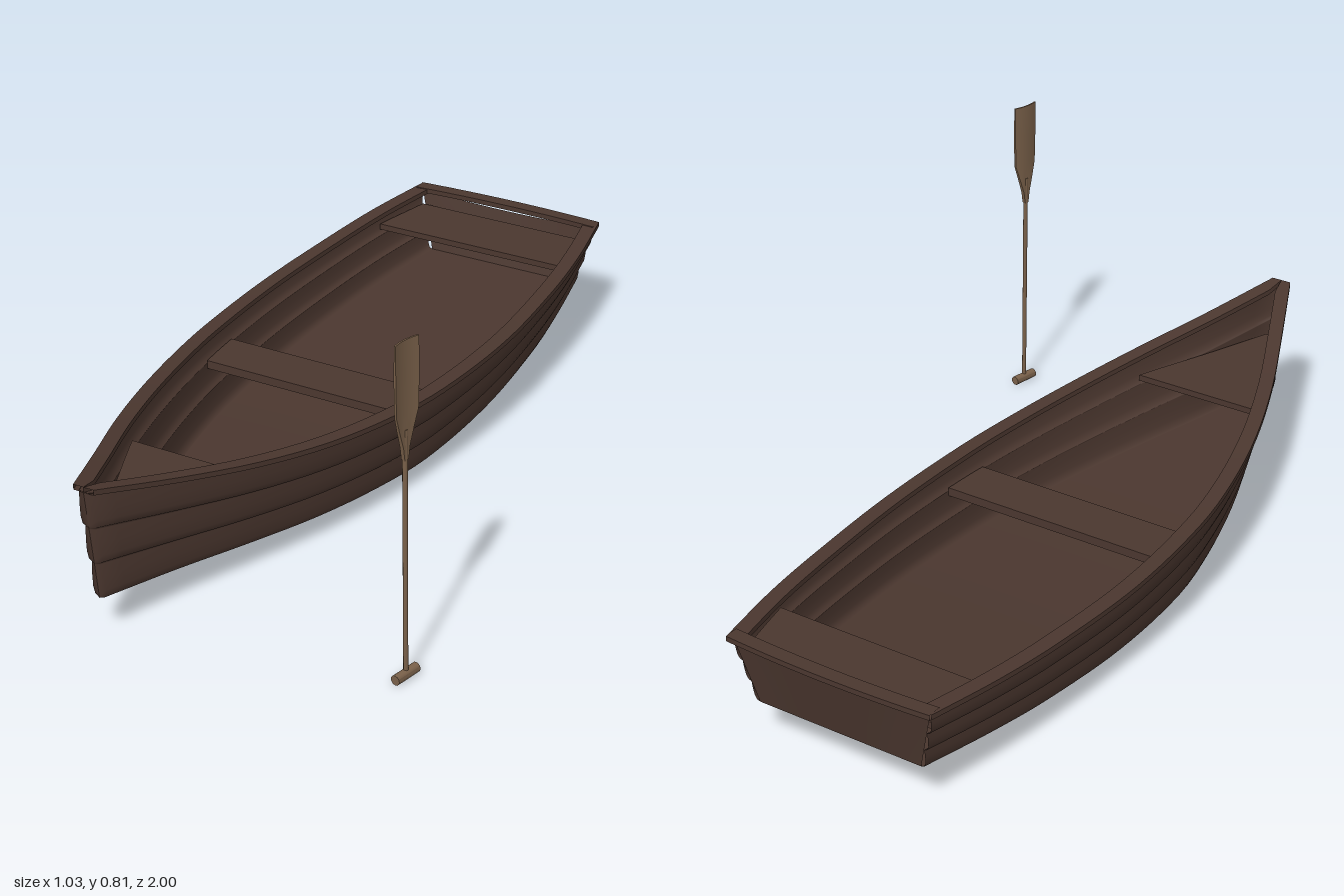
import * as THREE from 'three';
import { toCreasedNormals } from 'three/addons/utils/BufferGeometryUtils.js';

const CENTER_X = -0.165;
const STEPS = 40;

// Smooth curve through [t, value] pairs, t from 0 (stern) to 1 (bow)
const STATIONS = [0, 0.1, 0.2, 0.35, 0.5, 0.6, 0.7, 0.8, 0.9, 1];
function curve(values) {
  const n = STATIONS.length;
  const slope = (i) => {
    const a = Math.max(i - 1, 0), b = Math.min(i + 1, n - 1);
    return (values[b] - values[a]) / (STATIONS[b] - STATIONS[a]);
  };
  return (t) => {
    let i = 0;
    while (i < n - 2 && t > STATIONS[i + 1]) i++;
    const d = STATIONS[i + 1] - STATIONS[i], s = (t - STATIONS[i]) / d;
    const s2 = s * s, s3 = s2 * s;
    return values[i] * (2 * s3 - 3 * s2 + 1) + values[i + 1] * (3 * s2 - 2 * s3)
      + d * (slope(i) * (s3 - 2 * s2 + s) + slope(i + 1) * (s3 - s2));
  };
}
const topHalf = curve([0.258, 0.296, 0.32, 0.338, 0.326, 0.297, 0.25, 0.184, 0.101, 0.015]);
const bottomHalf = curve([0.215, 0.25, 0.275, 0.292, 0.28, 0.248, 0.199, 0.136, 0.068, 0.008]);
const rimY = curve([0.283, 0.275, 0.267, 0.261, 0.264, 0.273, 0.29, 0.317, 0.353, 0.397]);
const bottomY = curve([0.11, 0.095, 0.08, 0.062, 0.052, 0.055, 0.062, 0.074, 0.087, 0.1]);
const RIM = 0.013;
const lerp = THREE.MathUtils.lerp;
const V = (x, y, z) => new THREE.Vector3(x, y, z);

// Skin a list of equal-length cross-sections
function loft(sections, flip = false) {
  const pos = [], index = [], m = sections[0].length;
  sections.forEach((s) => s.forEach((p) => pos.push(p.x, p.y, p.z)));
  for (let i = 0; i < sections.length - 1; i++) {
    for (let j = 0; j < m - 1; j++) {
      const a = i * m + j, b = a + 1, c = a + m, d = c + 1;
      if (flip) index.push(a, b, c, b, d, c);
      else index.push(a, c, b, b, c, d);
    }
  }
  const g = new THREE.BufferGeometry();
  g.setAttribute('position', new THREE.Float32BufferAttribute(pos, 3));
  g.setIndex(index);
  g.computeVertexNormals();
  return g;
}
const along = (fn) => Array.from({ length: STEPS + 1 }, (_, i) => fn(i / STEPS));

// Point on the hull side: u rises from chine to rim, off pushes outward
function sidePoint(t, u, off, side) {
  const half = lerp(bottomHalf(t), topHalf(t), u) + off;
  return V(side * half, lerp(bottomY(t), rimY(t) - RIM, u),
    lerp(lerp(-0.95, -0.975, u), lerp(0.955, 0.992, u), t));
}

// Three overlapping planks, each with a rounded lower lip
function plankSide(side) {
  const profile = [];
  for (let k = 0; k < 3; k++) {
    for (const [u, off] of [[0, 0], [0.05, 0.007], [0.25, 0.009], [0.6, 0.006], [0.97, 0.001]]) {
      profile.push([(k + u) / 3, off]);
    }
  }
  profile.push([1, 0]);
  const rows = along((t) => profile.map(([u, off]) => sidePoint(t, u, off, side)));
  rows.push(rows[STEPS].map((p) => V(0, p.y, p.z + 0.006)));
  return loft(rows, side > 0);
}

// Flat gunwale strip along one side
function rimSide(side) {
  const rows = along((t) => {
    const z = lerp(-0.985, 0.998, t), y = rimY(t);
    const outer = topHalf(t) + 0.011, inner = Math.max(topHalf(t) - 0.028, 0);
    return [[outer, y], [inner, y], [inner, y - RIM], [outer, y - RIM], [outer, y]]
      .map(([x, h]) => V(side * x, h, z));
  });
  const g = loft(rows, side < 0);
  return toCreasedNormals(g, 0.6);
}

// Flat board that follows the hull between two z positions
function seatBoard(z0, z1, y, thick, gap) {
  const right = [], n = 12;
  for (let i = 0; i <= n; i++) {
    const z = lerp(z0, z1, i / n);
    const t = THREE.MathUtils.clamp((z + 0.965) / 1.94, 0, 1);
    const u = Math.min((y - bottomY(t)) / (rimY(t) - RIM - bottomY(t)), 1);
    right.push([Math.max(lerp(bottomHalf(t), topHalf(t), u) - gap, 0.001), z]);
  }
  const outline = [...right, ...right.slice().reverse().map(([x, z]) => [-x, z])];
  const shape = new THREE.Shape(outline.map(([x, z]) => new THREE.Vector2(x, -z)));
  const g = new THREE.ExtrudeGeometry(shape, { depth: thick, bevelEnabled: false });
  return g.rotateX(-Math.PI / 2).translate(0, y - thick, 0);
}

export function createModel() {
  const model = new THREE.Group();
  const boatWood = new THREE.MeshStandardMaterial({ color: 0x4b372f, side: THREE.DoubleSide });
  boatWood.name = 'darkWood';
  const oarWood = new THREE.MeshStandardMaterial({ color: 0x7a614a, side: THREE.DoubleSide });
  oarWood.name = 'oarWood';
  const add = (parent, name, geometry, material) => {
    const mesh = new THREE.Mesh(geometry, material);
    mesh.name = name;
    parent.add(mesh);
    return mesh;
  };

  const boat = new THREE.Group();
  boat.name = 'boat';
  boat.position.x = CENTER_X;
  model.add(boat);

  // Hull sides and gunwales
  for (const [name, side] of [['left', 1], ['right', -1]]) {
    add(boat, name + 'Planking', plankSide(side), boatWood);
    add(boat, name + 'Gunwale', rimSide(side), boatWood);
  }

  // Bottom boards
  const bottom = along((t) => [-1, -0.5, 0, 0.5, 1].map((k) =>
    V(k * bottomHalf(t), bottomY(t), lerp(-0.95, 0.955, t))));
  add(boat, 'bottom', loft(bottom, true), boatWood);

  // Transom, bowed slightly aft, with a dipped top edge
  const transom = [];
  for (let i = 0; i <= 12; i++) {
    const k = i / 6 - 1, bow = 1 - k * k;
    transom.push([0, 0.5, 1].map((u) => {
      const p = sidePoint(0, u, 0, 1);
      return V(k * p.x, p.y - 0.012 * bow * u, p.z - 0.008 * bow * u);
    }));
  }
  add(boat, 'transom', loft(transom, true), boatWood);

  // Rail across the stern
  const rail = [];
  for (let i = 0; i <= 12; i++) {
    const k = i / 6 - 1, x = k * 0.268, back = -0.99 - 0.01 * (1 - k * k), front = back + 0.036;
    rail.push([[0.284, back], [0.284, front], [0.271, front], [0.271, back], [0.284, back]]
      .map(([y, z]) => V(x, y, z)));
  }
  add(boat, 'sternRail', toCreasedNormals(loft(rail, true), 0.6), boatWood);

  // Seats
  add(boat, 'sternSeat', seatBoard(-0.955, -0.78, 0.238, 0.016, 0.004), boatWood);
  add(boat, 'middleSeat', seatBoard(-0.08, 0.05, 0.192, 0.022, 0.002), boatWood);
  add(boat, 'bowSeat', seatBoard(0.57, 0.95, 0.255, 0.016, 0.008), boatWood);

  // Oar standing on its cross handle
  const oar = new THREE.Group();
  oar.name = 'oar';
  oar.position.set(0.497, 0, 0.777);
  oar.rotation.z = 0.008;
  model.add(oar);
  const grip = new THREE.CylinderGeometry(0.012, 0.012, 0.07, 12).rotateX(Math.PI / 2);
  const handle = add(oar, 'oarHandle', toCreasedNormals(grip, 0.8), oarWood);
  handle.position.y = 0.014;
  handle.rotation.y = -0.2;
  const shaft = add(oar, 'oarShaft', new THREE.CylinderGeometry(0.006, 0.0055, 0.6, 10), oarWood);
  shaft.position.y = 0.31;

  // Blade: thin, tapered at the neck and slightly scooped
  const rows = [[0.54, 0.006, 0.005], [0.57, 0.01, 0.005], [0.61, 0.022, 0.004], [0.65, 0.034, 0.003],
    [0.73, 0.036, 0.003], [0.815, 0.036, 0.002]].map(([y, w, d]) => {
    const ring = [];
    for (const [s, dir] of [[1, 1], [-1, -1]]) {
      for (let i = -3; i <= 3; i++) {
        const k = (i / 3) * dir;
        ring.push(V(s * d + 6 * (w * k) ** 2 * 0.7, y, w * k));
      }
    }
    ring.push(ring[0].clone());
    return ring;
  });
  const ends = (row) => row.map((p) => V(0.002, p.y, p.z * 0.9));
  rows.unshift(ends(rows[0]));
  rows.push(ends(rows[rows.length - 1]));
  const blade = add(oar, 'oarBlade', toCreasedNormals(loft(rows, true), 0.7), oarWood);
  blade.rotation.y = -0.22;

  return model;
}
